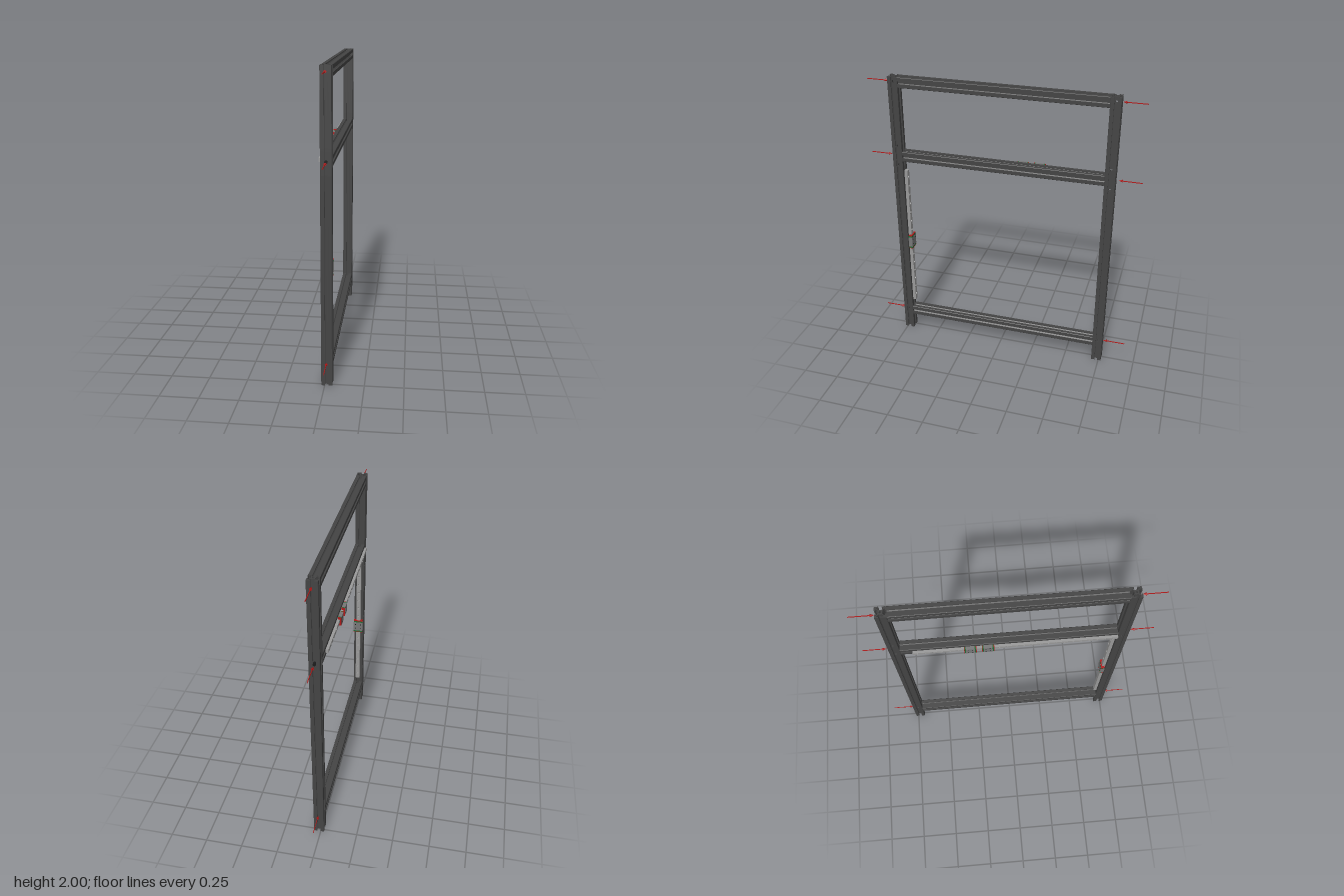
import * as THREE from 'three';
import { mergeGeometries } from 'three/addons/utils/BufferGeometryUtils.js';

const MM = 0.0035;              // one profile unit
const CX = 0.013;               // centre plane of the frame
const HALF = 10 * MM;           // half width of an extrusion
const POST_Z = 0.733;
const RAIL_Z = POST_Z - HALF;   // half length of the crossbars
const HOLE_R = 2.7;

const mat = (color) => new THREE.MeshStandardMaterial({ color });
const darkMetal = mat(0x444444);
const steel = mat(0x999999);
const blockMetal = mat(0x777777);
const green = mat(0x1f6b33);
const red = mat(0xb01818);
const black = mat(0x1c1c1c);

// One quarter of the T-slot outline, mirrored about its diagonal
const octant = [[3.9, 2.8], [6.6, 5.5], [8.2, 5.5], [8.2, 3], [10, 3], [10, 9.3]];
const quarter = [...octant, ...octant.map(([a, b]) => [b, a]).reverse()];
const turned = (n) => quarter.map(([a, b]) => {
  for (let i = 0; i < n; i++) [a, b] = [-b, a];
  return [a, b];
});
const toShape = (pts) => new THREE.Shape(pts.map(([a, b]) => new THREE.Vector2(a * MM, b * MM)));

function fullProfile() {
  const shape = toShape([0, 1, 2, 3].flatMap(turned));
  const bore = new THREE.Path();
  bore.absarc(0, 0, 2.1 * MM, 0, Math.PI * 2, true);
  shape.holes.push(bore);
  return [shape];
}

// Profile cut by a gap of half width g through the core
function splitProfile(g) {
  const half = [[3.9, g], ...turned(0), ...turned(1), [-3.9, g]];
  return [toShape(half), toShape(half.map(([a, b]) => [-a, -b]))];
}

function slab(shapes, from, to) {
  const geo = new THREE.ExtrudeGeometry(shapes, { depth: to - from, bevelEnabled: false, curveSegments: 6 });
  return geo.translate(0, 0, from);
}

// Extrusion along z, with cross holes stacked from thin slices
function extrusion(length, holes = []) {
  const parts = [];
  const r = HOLE_R * MM;
  const slices = 8;
  let start = 0;
  for (const h of holes) {
    parts.push(slab(fullProfile(), start, h - r));
    for (let i = 0; i < slices; i++) {
      const a = -1 + (2 * i) / slices, b = a + 2 / slices, m = (a + b) / 2;
      parts.push(slab(splitProfile(HOLE_R * Math.sqrt(1 - m * m)), h + a * r, h + b * r));
    }
    start = h + r;
  }
  parts.push(slab(fullProfile(), start, length));
  return mergeGeometries(parts);
}

function add(parent, name, geo, material, x = 0, y = 0, z = 0) {
  const mesh = new THREE.Mesh(geo, material);
  mesh.name = name;
  mesh.position.set(x, y, z);
  parent.add(mesh);
  return mesh;
}

// Linear guide: length along local y, base at z = 0, rising along +z
function guideRail(name, length, width, height, pitch) {
  const w = width / 2, l = length / 2;
  const shape = new THREE.Shape([[-w, -l], [w, -l], [w, l], [-w, l]].map((p) => new THREE.Vector2(...p)));
  const count = Math.floor(length / pitch);
  for (let i = 0; i < count; i++) {
    const hole = new THREE.Path();
    hole.absarc(0, (i - (count - 1) / 2) * pitch, width * 0.27, 0, Math.PI * 2, true);
    shape.holes.push(hole);
  }
  const geo = new THREE.ExtrudeGeometry(shape, { depth: height, bevelEnabled: false, curveSegments: 6 });
  const mesh = new THREE.Mesh(geo, steel);
  mesh.name = name;
  return mesh;
}

// C-shaped sliding block that straddles a guide rail
function carriage(name, length, width, railWidth, railHeight, total) {
  const group = new THREE.Group();
  group.name = name;
  const section = (inset) => {
    const w = width / 2 - inset, g = railWidth / 2 + 0.001, lo = 0.005 + inset, hi = total - inset;
    const pts = [[-w, lo], [-g, lo], [-g, railHeight + 0.001], [g, railHeight + 0.001], [g, lo], [w, lo], [w, hi], [-w, hi]];
    return new THREE.Shape(pts.map((p) => new THREE.Vector2(...p)));
  };
  const piece = (label, material, from, to, inset) =>
    add(group, label, slab(section(inset), from, to).rotateX(Math.PI / 2), material);
  const l = length / 2, cap = length * 0.14, seal = 0.004;
  piece('carriageBody', blockMetal, -l + cap, l - cap, 0);
  for (const s of [-1, 1]) {
    const span = (a, b) => (s > 0 ? [a, b] : [-b, -a]);
    piece('endCap', green, ...span(l - cap, l - seal), 0.001);
    piece('endSeal', red, ...span(l - seal, l), 0.001);
  }
  // Mounting screw holes on top
  for (const x of [-1, 1]) for (const y of [-1, 1]) {
    const disc = new THREE.CircleGeometry(0.0045, 10);
    add(group, 'mountingHole', disc, black, x * width * 0.3, y * length * 0.17, total + 0.0004);
  }
  return group;
}

export function createModel() {
  const model = new THREE.Group();
  model.name = 'slottedFrame';
  const barHeights = { bottomBar: 0.16, middleBar: 1.44, topBar: 1.965 };

  // Upright posts with access holes
  const postGeo = extrusion(2, [0.16, 1.37, 1.51, 1.965]).rotateX(-Math.PI / 2);
  add(model, 'frontPost', postGeo, darkMetal, CX, 0, POST_Z);
  add(model, 'backPost', postGeo, darkMetal, CX, 0, -POST_Z);

  // Crossbars
  const barGeo = extrusion(2 * RAIL_Z).translate(0, 0, -RAIL_Z);
  for (const [name, y] of Object.entries(barHeights)) add(model, name, barGeo, darkMetal, CX, y, 0);

  // Pointers at each joint, aimed at the posts
  for (const [name, y] of Object.entries(barHeights)) {
    const middle = name === 'middleBar';
    const tip = middle ? 0.785 : 0.772;
    for (const side of [1, -1]) {
      const pointer = new THREE.Group();
      pointer.name = 'jointPointer';
      pointer.position.set(CX, y, 0);
      if (side < 0) pointer.rotation.y = Math.PI;
      const head = new THREE.ConeGeometry(0.009, 0.025, 12).rotateX(-Math.PI / 2);
      add(pointer, 'pointerHead', head, red, 0, 0, tip + 0.0125);
      add(pointer, 'pointerShaft', new THREE.BoxGeometry(0.004, 0.005, 0.14), red, 0, 0, tip + 0.083);
      if (middle) {
        const screw = new THREE.CylinderGeometry(0.01, 0.01, 0.02, 16).rotateX(Math.PI / 2);
        add(pointer, 'jointScrew', screw, black, 0, 0, POST_Z + 0.024);
      }
      model.add(pointer);
    }
  }

  // Horizontal guide on the right face of the middle bar
  const across = new THREE.Group();
  across.name = 'horizontalGuide';
  across.position.set(CX - HALF, barHeights.middleBar, 0);
  // local y runs along z, local z points to -x
  across.quaternion.setFromRotationMatrix(new THREE.Matrix4().makeBasis(
    new THREE.Vector3(0, -1, 0), new THREE.Vector3(0, 0, 1), new THREE.Vector3(-1, 0, 0)));
  const longRail = guideRail('horizontalRail', 1.318, 0.0245, 0.0175, 0.0525);
  longRail.position.y = 0.039;
  across.add(longRail);
  for (const z of [-0.252, -0.138]) {
    const block = carriage('horizontalCarriage', 0.079, 0.06, 0.0245, 0.0175, 0.028);
    block.position.y = z;
    across.add(block);
  }
  model.add(across);

  // Vertical guide on the inner face of the front post
  const upright = new THREE.Group();
  upright.name = 'verticalGuide';
  upright.position.set(CX, 0, RAIL_Z);
  upright.rotation.y = Math.PI;
  const tallRail = guideRail('verticalRail', 1.08, 0.0315, 0.0225, 0.07);
  tallRail.position.y = 0.79;
  const tallBlock = carriage('verticalCarriage', 0.105, 0.07, 0.0315, 0.0225, 0.033);
  tallBlock.position.y = 0.767;
  upright.add(tallRail, tallBlock);
  model.add(upright);

  return model;
}
